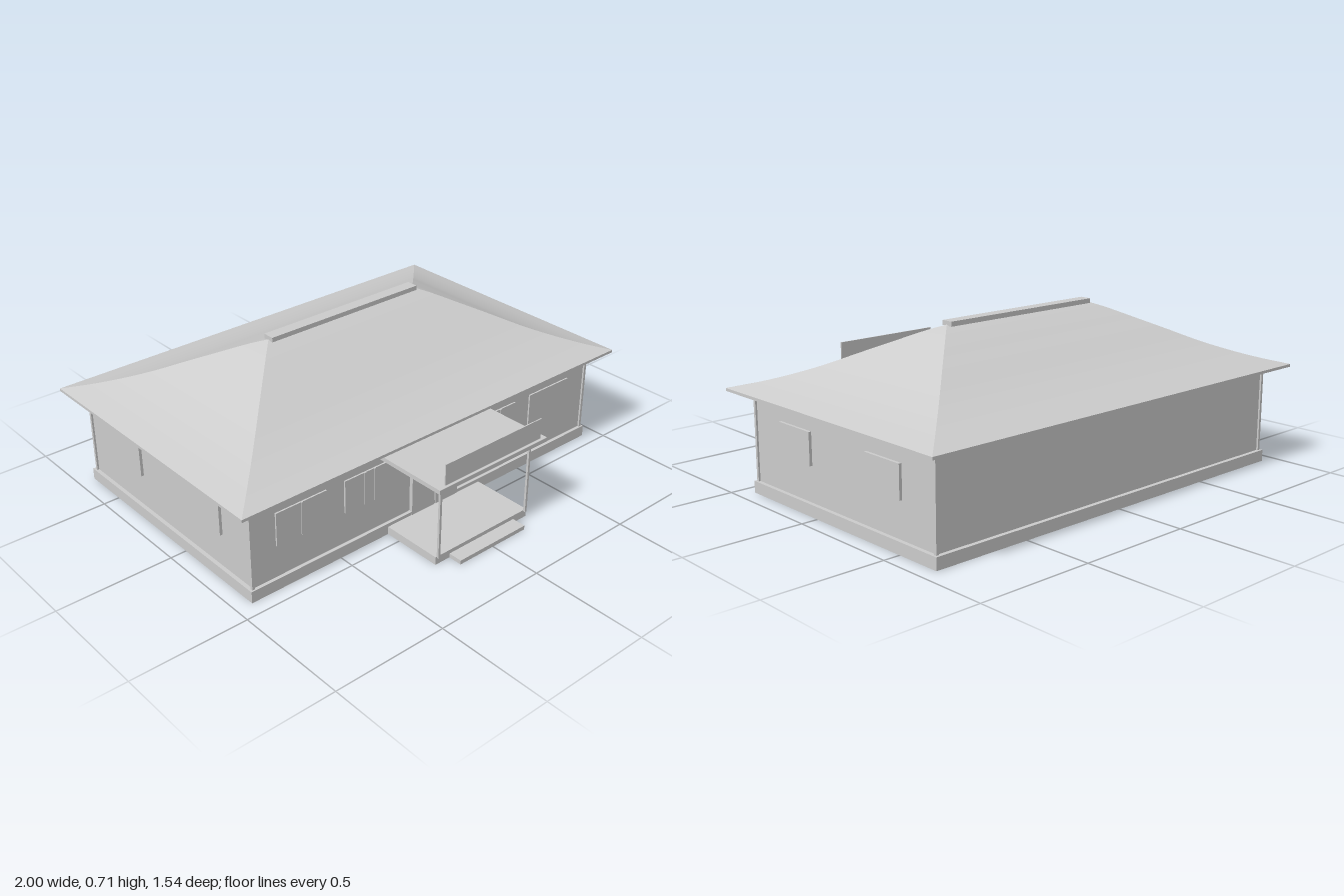
import * as THREE from 'three';

const EAVE_Y = 0.435, RIDGE_Y = 0.7, RIDGE_Z = -0.135, RIDGE_X = 0.39;

export function createModel() {
  const model = new THREE.Group();
  model.name = 'house';
  const plaster = new THREE.MeshStandardMaterial({ color: 0xcccccc });
  plaster.name = 'light grey';

  // Box given by its minimum and maximum on each axis
  const box = (name, x0, x1, y0, y1, z0, z1, parent = model) => {
    const mesh = new THREE.Mesh(new THREE.BoxGeometry(x1 - x0, y1 - y0, z1 - z0), plaster);
    mesh.position.set((x0 + x1) / 2, (y0 + y1) / 2, (z0 + z1) / 2);
    mesh.name = name;
    parent.add(mesh);
    return mesh;
  };

  // Main body
  box('plinth', -0.93, 0.93, 0, 0.05, -0.7, 0.435);
  box('walls', -0.913, 0.913, 0.05, 0.425, -0.682, 0.42);
  for (const s of [-1, 1]) {
    for (const z of [-0.684, 0.422]) {
      box('cornerTrim', s * 0.915 - 0.006, s * 0.915 + 0.006, 0.05, 0.425, z - 0.006, z + 0.006);
    }
  }

  // Hipped roof with a flared profile
  box('eaves', -1, 1, 0.423, EAVE_Y, -0.77, 0.5);
  model.add(hipRoof(plaster));
  box('ridgeCap', -RIDGE_X, RIDGE_X, 0.695, 0.715, -0.162, -0.11);

  // Front windows: thin panes with raised mullions
  const frontWindows = [[-0.68, [0]], [-0.35, [-0.02, 0.03]], [0.35, [-0.02, 0.03]], [0.68, []]];
  for (const [x, mullions] of frontWindows) {
    const group = new THREE.Group();
    group.name = 'frontWindow';
    model.add(group);
    box('pane', x - 0.12, x + 0.12, 0.19, 0.335, 0.419, 0.427, group);
    for (const m of mullions) {
      box('mullion', x + m - 0.004, x + m + 0.004, 0.19, 0.335, 0.424, 0.43, group);
    }
  }

  // Side windows
  for (const s of [-1, 1]) {
    for (const z of [0.143, -0.4]) {
      const w = box('sideWindow', -0.006, 0.006, 0.2, 0.335, z - 0.1, z + 0.1);
      w.position.x = s * 0.92;
    }
  }

  // Double door and lamp above it
  for (const s of [-1, 1]) {
    const leaf = box('doorLeaf', -0.062, 0.062, 0.035, 0.325, 0.419, 0.437);
    leaf.position.x = s * 0.065;
  }
  box('lamp', 0.175, 0.21, 0.344, 0.355, 0.42, 0.446);

  // Porch
  box('porchSlab', -0.255, 0.255, 0, 0.035, 0.43, 0.708);
  box('porchStep', -0.18, 0.18, 0, 0.018, 0.7, 0.77);
  for (const s of [-1, 1]) {
    const post = box('porchPost', -0.005, 0.005, 0.03, 0.325, 0.71, 0.72);
    post.position.x = s * 0.244;
    post.position.z = 0.712;
  }
  box('canopy', -0.293, 0.293, 0.362, 0.38, 0.42, 0.757);
  box('signBoard', -0.26, 0.26, 0.386, 0.476, 0.746, 0.751);

  return model;
}

// Four curved roof slopes, each lofted from eave edge to ridge
function hipRoof(material) {
  const group = new THREE.Group();
  group.name = 'roof';
  const profile = new THREE.SplineCurve([
    [0, 0], [0.15, 0.1], [0.3, 0.225], [0.45, 0.375], [0.6, 0.555], [0.75, 0.73], [0.9, 0.905], [1, 1],
  ].map(([x, y]) => new THREE.Vector2(x, y))).getPoints(16);
  const corners = [[-1, 0.5], [1, 0.5], [1, -0.77], [-1, -0.77]];
  const tops = corners.map(([x]) => [x * RIDGE_X, RIDGE_Z]);

  for (let i = 0; i < 4; i++) {
    const j = (i + 1) % 4, positions = [], index = [];
    profile.forEach((p, row) => {
      for (const k of [i, j]) {
        positions.push(
          THREE.MathUtils.lerp(corners[k][0], tops[k][0], p.x),
          THREE.MathUtils.lerp(EAVE_Y, RIDGE_Y, p.y),
          THREE.MathUtils.lerp(corners[k][1], tops[k][1], p.x),
        );
      }
      if (row > 0) {
        const a = row * 2 - 2;
        index.push(a, a + 1, a + 3, a, a + 3, a + 2);
      }
    });
    const geometry = new THREE.BufferGeometry();
    geometry.setAttribute('position', new THREE.Float32BufferAttribute(positions, 3));
    geometry.setIndex(index);
    geometry.computeVertexNormals();
    const slope = new THREE.Mesh(geometry, material);
    slope.name = 'roofSlope';
    group.add(slope);
  }
  return group;
}
